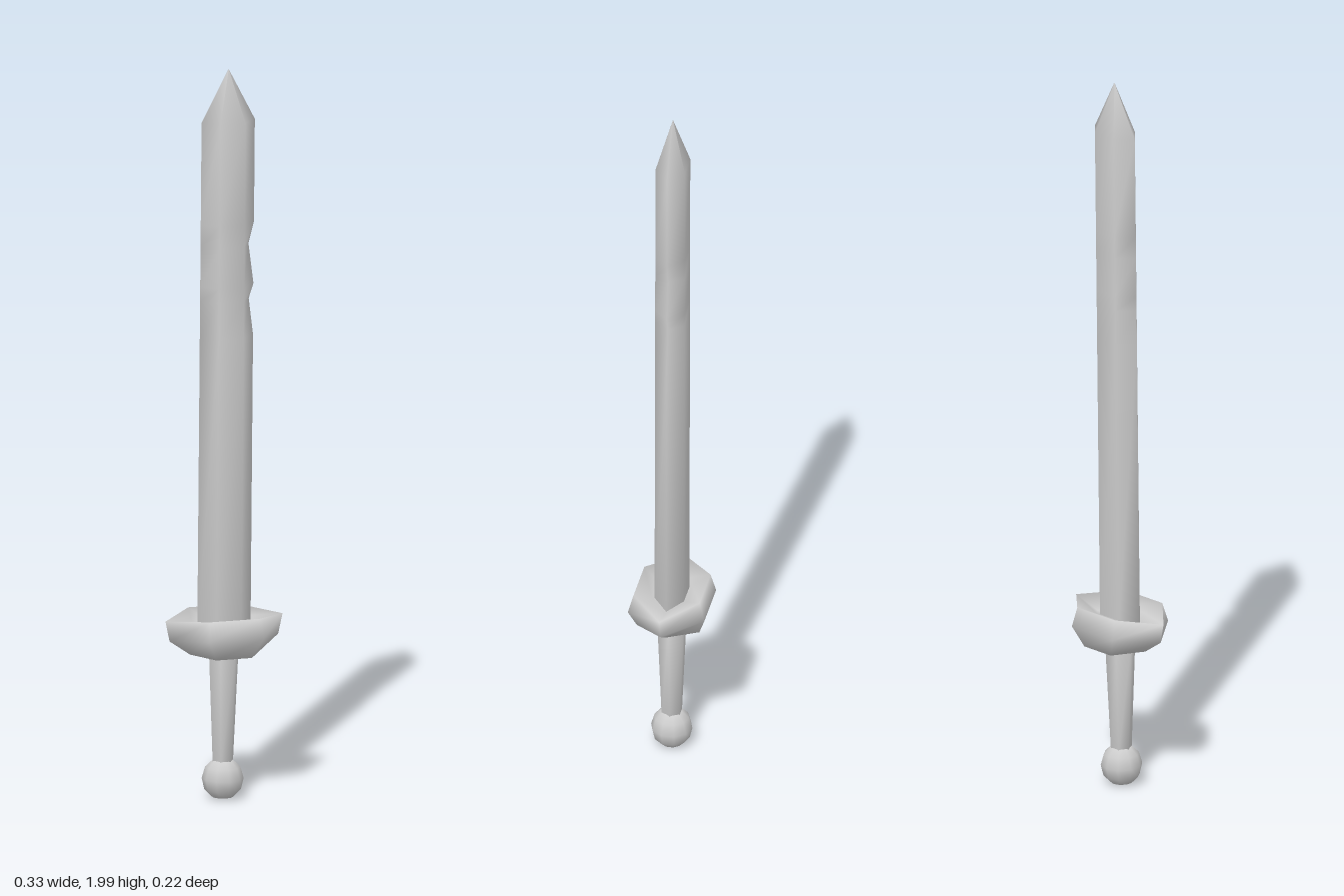
import * as THREE from 'three';

const material = new THREE.MeshStandardMaterial({ color: 0xcccccc });

// Six-sided ring: tips at +-tip on x, corners at (+-cornerX, +-cornerZ); edge moves the +x tip alone
function hexRing({ y, tip, cornerX, cornerZ, tipY = y, edge = tip }) {
  return [
    [edge, tipY, 0], [cornerX, y, -cornerZ], [-cornerX, y, -cornerZ],
    [-tip, tipY, 0], [-cornerX, y, cornerZ], [cornerX, y, cornerZ],
  ];
}

// Smooth skin through a stack of rings, from bottom to top, closed at both ends
function loft(name, rings) {
  const n = rings[0].length;
  const index = [];
  for (let r = 0; r < rings.length - 1; r++) {
    for (let i = 0; i < n; i++) {
      const a = r * n + i, b = r * n + (i + 1) % n;
      index.push(a, b, b + n, a, b + n, a + n);
    }
  }
  const last = (rings.length - 1) * n;
  for (let i = 1; i < n - 1; i++) {
    index.push(0, i + 1, i, last, last + i, last + i + 1);
  }
  const geometry = new THREE.BufferGeometry();
  geometry.setAttribute('position', new THREE.Float32BufferAttribute(rings.flat(2), 3));
  geometry.setIndex(index);
  geometry.computeVertexNormals();
  const mesh = new THREE.Mesh(geometry, material);
  mesh.name = name;
  return mesh;
}

export function createModel() {
  const sword = new THREE.Group();
  sword.name = 'sword';

  // Blade: constant hexagon with two nicks along one edge, narrowing to a point
  const bladeEdge = [
    [0.46, 0.075], [1.27, 0.075], [1.37, 0.062], [1.41, 0.075],
    [1.52, 0.06], [1.58, 0.075], [1.86, 0.075],
  ];
  const bladeRings = bladeEdge.map(([y, edge]) =>
    hexRing({ y, tip: 0.075, cornerX: 0.035, cornerZ: 0.04, edge }));
  bladeRings.push(hexRing({ y: 2, tip: 0.001, cornerX: 0.0005, cornerZ: 0.0008 }));
  sword.add(loft('blade', bladeRings));

  // Guard: boat-shaped hexagon with raised tips and a dished top
  sword.add(loft('guard', [
    { y: 0.405, tip: 0.095, cornerX: 0.05, cornerZ: 0.085 },
    { y: 0.46, tipY: 0.445, tip: 0.153, cornerX: 0.077, cornerZ: 0.104 },
    { y: 0.512, tipY: 0.5, tip: 0.165, cornerX: 0.07, cornerZ: 0.09 },
    { y: 0.49, tipY: 0.475, tip: 0.085, cornerX: 0.04, cornerZ: 0.046 },
  ].map(hexRing)));

  // Handle: tapered six-sided grip
  sword.add(loft('handle', [[0.09, 0.028], [0.42, 0.042]].map(([y, r]) =>
    hexRing({ y, tip: r, cornerX: r / 2, cornerZ: r * 0.866 }))));

  // Pommel: low-sided ball with a flattened underside
  const profile = [
    [0, 0.006], [0.03, 0.011], [0.049, 0.031], [0.056, 0.061],
    [0.047, 0.092], [0.028, 0.11], [0, 0.115],
  ].map(([r, y]) => new THREE.Vector2(r, y));
  const pommel = new THREE.Mesh(new THREE.LatheGeometry(profile, 10), material);
  pommel.name = 'pommel';
  sword.add(pommel);

  // Slight twist about the length, then a slight lean
  sword.rotation.y = 0.12;
  const model = new THREE.Group();
  model.add(sword);
  model.rotation.set(-0.005, 0, -0.0095);
  model.position.set(-0.0085, 0, 0.0045);
  const root = new THREE.Group();
  root.add(model);
  return root;
}
